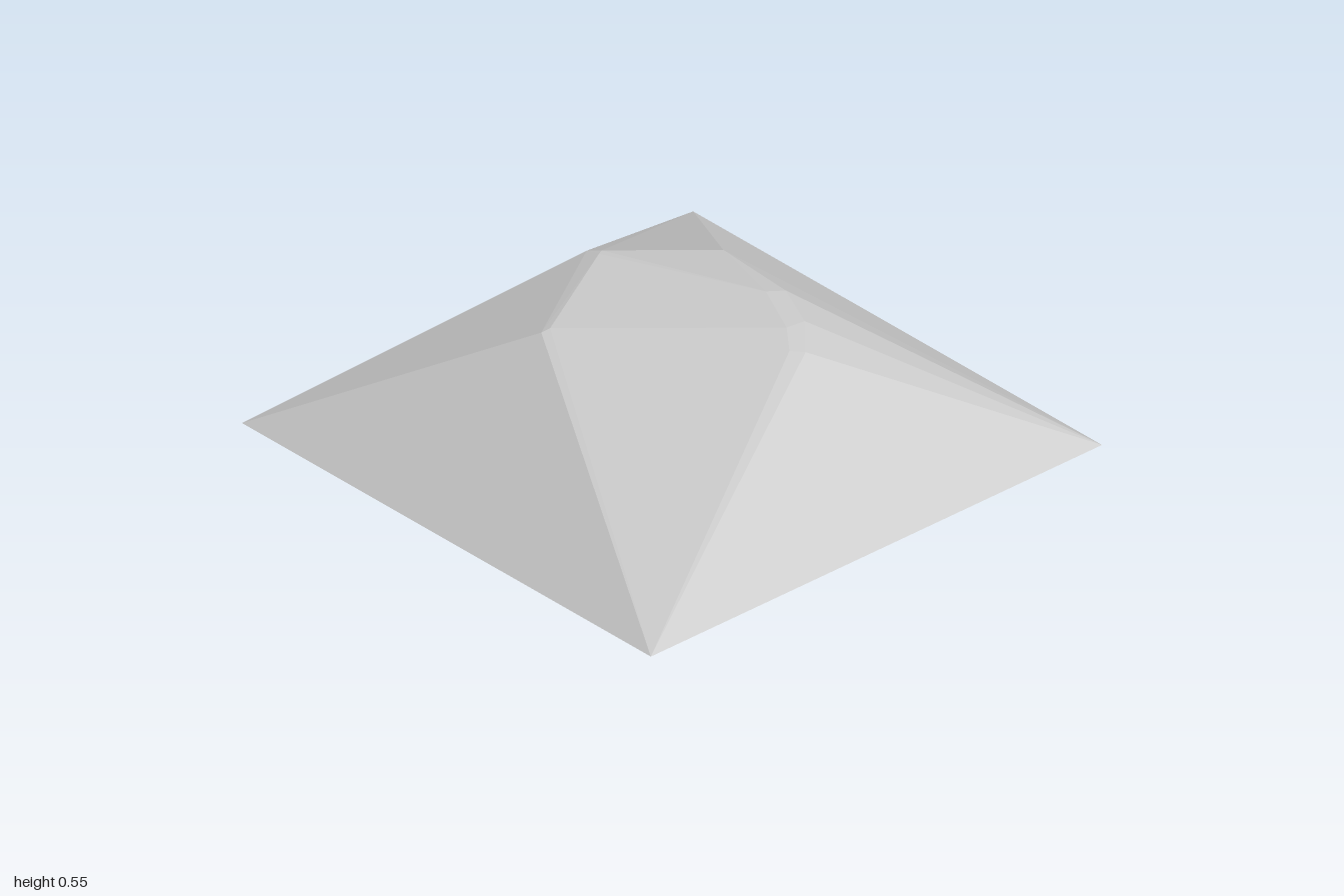
import * as THREE from 'three';
import { ConvexGeometry } from 'three/addons/geometries/ConvexGeometry.js';

export function createModel() {
  const group = new THREE.Group();
  group.name = 'facetedRock';
  const stone = new THREE.MeshStandardMaterial({ color: 0xc8c8c8 });
  stone.name = 'paleGreyStone';

  // square rim
  const rim = [[-1, 0.04, -1], [1, 0.04, -1], [1, 0.04, 1], [-1, 0.04, 1]];

  // uneven crown with narrow worn edges
  const crown = [
    [-0.38, 0.485, -0.22], [-0.35, 0.494, -0.21],
    [0.03, 0.545, -0.39], [0.05, 0.545, -0.4], [0.03, 0.53, -0.45],
    [0.42, 0.485, -0.19], [0.39, 0.508, -0.18],
    [0.28, 0.541, 0.15], [0.35, 0.525, 0.17],
    [0.2, 0.52, 0.34], [0.28, 0.512, 0.34],
    [0.14, 0.49, 0.42], [0.18, 0.485, 0.455],
  ];

  // shallow keel under the front half
  const keel = [[-0.1, 0, 0.86], [0.05, 0, 0.86], [0, 0, 0.4]];

  const points = [...rim, ...crown, ...keel].map((p) => new THREE.Vector3(...p));
  const rock = new THREE.Mesh(new ConvexGeometry(points), stone);
  rock.name = 'rockBody';
  group.add(rock);
  return group;
}
